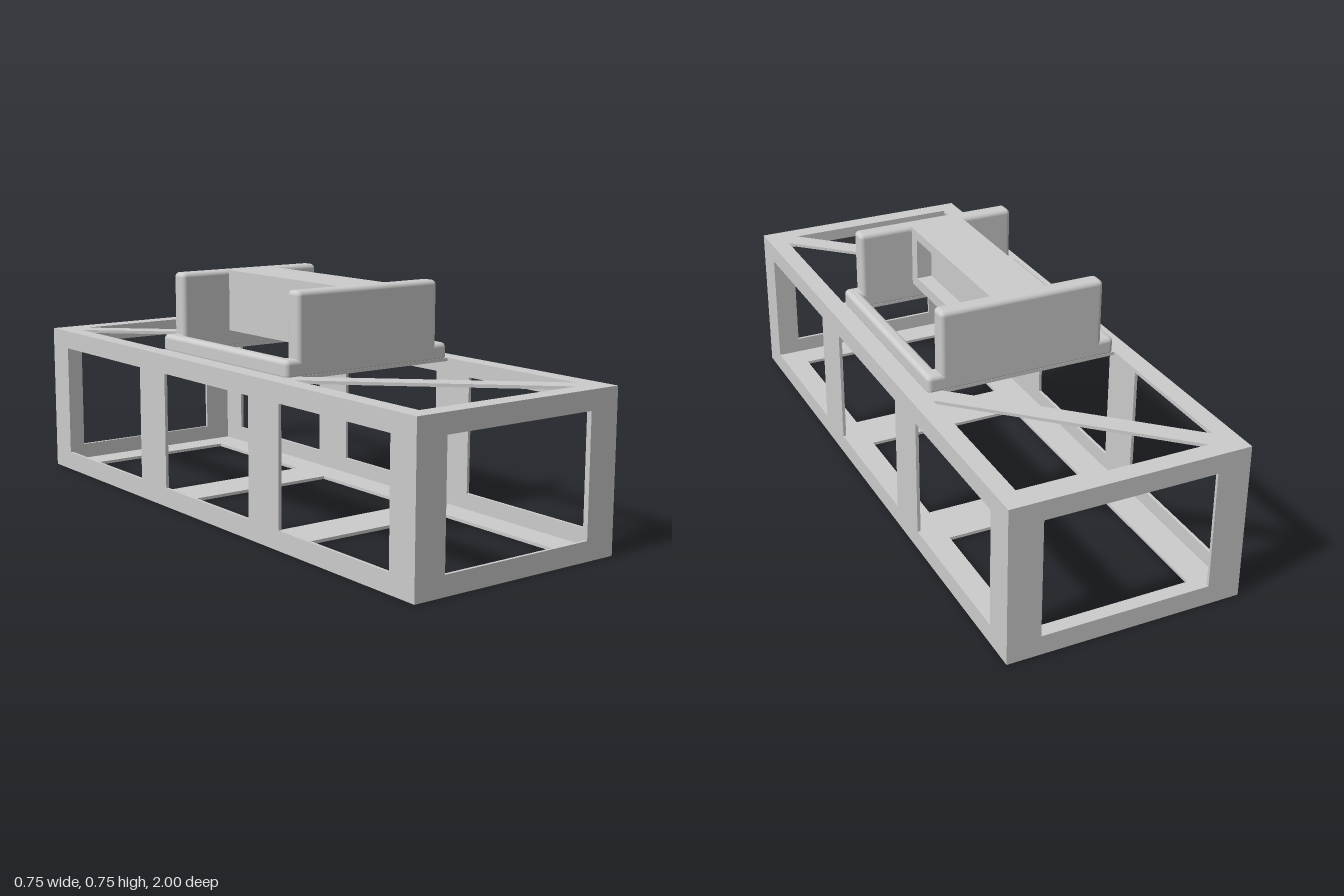
import * as THREE from 'three';
import { RoundedBoxGeometry } from 'three/addons/geometries/RoundedBoxGeometry.js';

const W = 0.374, H = 0.5, L = 1, T = 0.01;      // half width, height, half length, sheet thickness
const material = new THREE.MeshStandardMaterial({ color: 0xcccccc });

// Rectangle corners from min/max values
const rect = (x0, y0, x1, y1) => [[x0, y0], [x1, y0], [x1, y1], [x0, y1]];
const points = list => list.map(([x, y]) => new THREE.Vector2(x, y));

// Flat plate with window openings, extruded along +z
function plate(outline, holes, depth) {
  const shape = new THREE.Shape(points(outline));
  for (const hole of holes) shape.holes.push(new THREE.Path(points(hole)));
  return new THREE.ExtrudeGeometry(shape, { depth, bevelEnabled: false });
}

export function createModel() {
  const model = new THREE.Group();
  const frame = new THREE.Group();
  frame.name = 'frame';
  const saddle = new THREE.Group();
  saddle.name = 'saddle';
  model.add(frame, saddle);

  const add = (parent, name, geometry, x = 0, y = 0, z = 0) => {
    const mesh = new THREE.Mesh(geometry, material);
    mesh.name = name;
    mesh.position.set(x, y, z);
    parent.add(mesh);
  };

  // Three window bays along the length
  const bays = [[-0.895, -0.392], [-0.237, 0.237], [0.392, 0.895]];

  // Bottom panel with three wide windows
  const bottom = plate(rect(-W, -L, W, L), bays.map(([a, b]) => rect(-0.268, a, 0.268, b)), T);
  bottom.rotateX(Math.PI / 2);
  add(frame, 'bottomPanel', bottom, 0, T, 0);

  // Top panel: slim rims, with two triangles either side of a diagonal brace in each outer bay
  const topHoles = [rect(-0.268, -0.286, 0.268, 0.286)];
  for (const z of [-0.642, 0.642]) {
    topHoles.push([[-0.27, z - 0.298], [0.315, z - 0.298], [0.315, z + 0.253]]);
    topHoles.push([[-0.315, z - 0.253], [0.267, z + 0.298], [-0.315, z + 0.298]]);
  }
  const top = plate(rect(-W, -L, W, L), topHoles, T);
  top.rotateX(Math.PI / 2);
  add(frame, 'topPanel', top, 0, H, 0);

  // Side panels
  const side = plate(rect(-L, T, L, H - T), bays.map(([a, b]) => rect(a, 0.062, b, 0.439)), T);
  side.rotateY(Math.PI / 2);
  add(frame, 'leftSidePanel', side, W - T, 0, 0);
  add(frame, 'rightSidePanel', side, -W, 0, 0);

  // End panels
  const end = plate(rect(-W + T, T, W - T, H - T), [rect(-0.269, 0.062, 0.269, 0.439)], T);
  add(frame, 'frontPanel', end, 0, 0, L - T);
  add(frame, 'backPanel', end, 0, 0, -L);

  // Saddle: rounded base rails (sunk into the top panel) and upright end plates
  const rounded = (w, h, d) => new RoundedBoxGeometry(w, h, d, 4, 0.015);
  for (const s of [-1, 1]) {
    add(saddle, s > 0 ? 'leftRail' : 'rightRail', rounded(0.043, 0.06, 0.688), s * 0.29, 0.52, 0);
    add(saddle, s > 0 ? 'frontRail' : 'backRail', rounded(0.622, 0.06, 0.058), 0, 0.52, s * 0.315);
    add(saddle, s > 0 ? 'frontPlate' : 'backPlate', rounded(0.536, 0.25, 0.058), 0, 0.625, s * 0.315);
  }

  // Centre beam, running into the end plates, with a recessed pocket on its left face
  const pocket = 0.05;
  const core = new THREE.BoxGeometry(0.18 - pocket, 0.2, 0.62);
  add(saddle, 'centreBeam', core, -pocket / 2, 0.65, 0);
  const rim = plate(rect(-0.31, 0.55, 0.31, 0.75), [rect(-0.245, 0.585, 0.245, 0.72)], pocket);
  rim.rotateY(Math.PI / 2);
  add(saddle, 'beamPocketRim', rim, 0.09 - pocket, 0, 0);

  return model;
}
